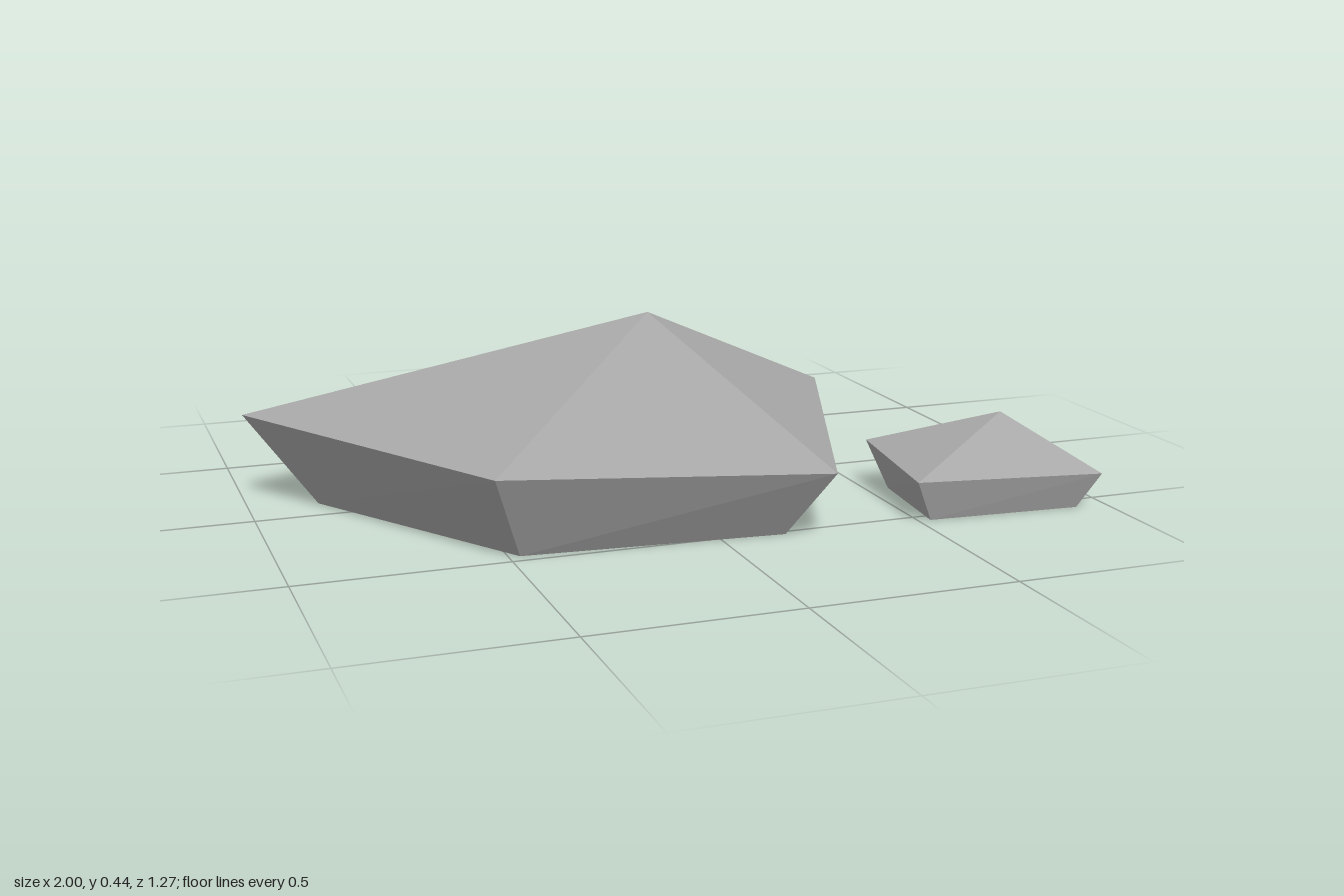
import * as THREE from 'three';

// Faceted rock: a tapered skirt up to an uneven rim, then a fan to the peak; open underneath.
function makeRock(name, rim, peak, centre, taper, material) {
  const base = rim.map(([x, , z]) => [
    centre[0] + (x - centre[0]) * taper,
    0,
    centre[1] + (z - centre[1]) * taper,
  ]);
  const points = [];
  rim.forEach((corner, i) => {
    const j = (i + 1) % rim.length;
    points.push(base[i], base[j], rim[j]); // skirt
    points.push(base[i], rim[j], corner);
    points.push(corner, rim[j], peak); // top facet
  });
  const geometry = new THREE.BufferGeometry();
  geometry.setAttribute('position', new THREE.Float32BufferAttribute(points.flat(), 3));
  geometry.computeVertexNormals();
  const mesh = new THREE.Mesh(geometry, material);
  mesh.name = name;
  return mesh;
}

export function createModel() {
  const stone = new THREE.MeshStandardMaterial({
    color: 0xa6a6a6, flatShading: true, side: THREE.DoubleSide,
  });
  stone.name = 'grey stone';

  const model = new THREE.Group();
  model.name = 'rocks';

  // Five-sided large rock
  model.add(makeRock('largeRock', [
    [-1, 0.23, -0.14],
    [-0.555, 0.212, 0.568],
    [0.235, 0.17, 0.632],
    [0.548, 0.195, -0.18],
    [-0.15, 0.165, -0.635],
  ], [0.015, 0.437, -0.045], [-0.15, 0.065], 0.8, stone));

  // Four-sided small rock
  model.add(makeRock('smallRock', [
    [0.48, 0.105, 0.562],
    [0.965, 0.09, 0.592],
    [1, 0.08, 0.222],
    [0.515, 0.12, 0.208],
  ], [0.79, 0.215, 0.395], [0.735, 0.42], 0.8, stone));

  return model;
}
